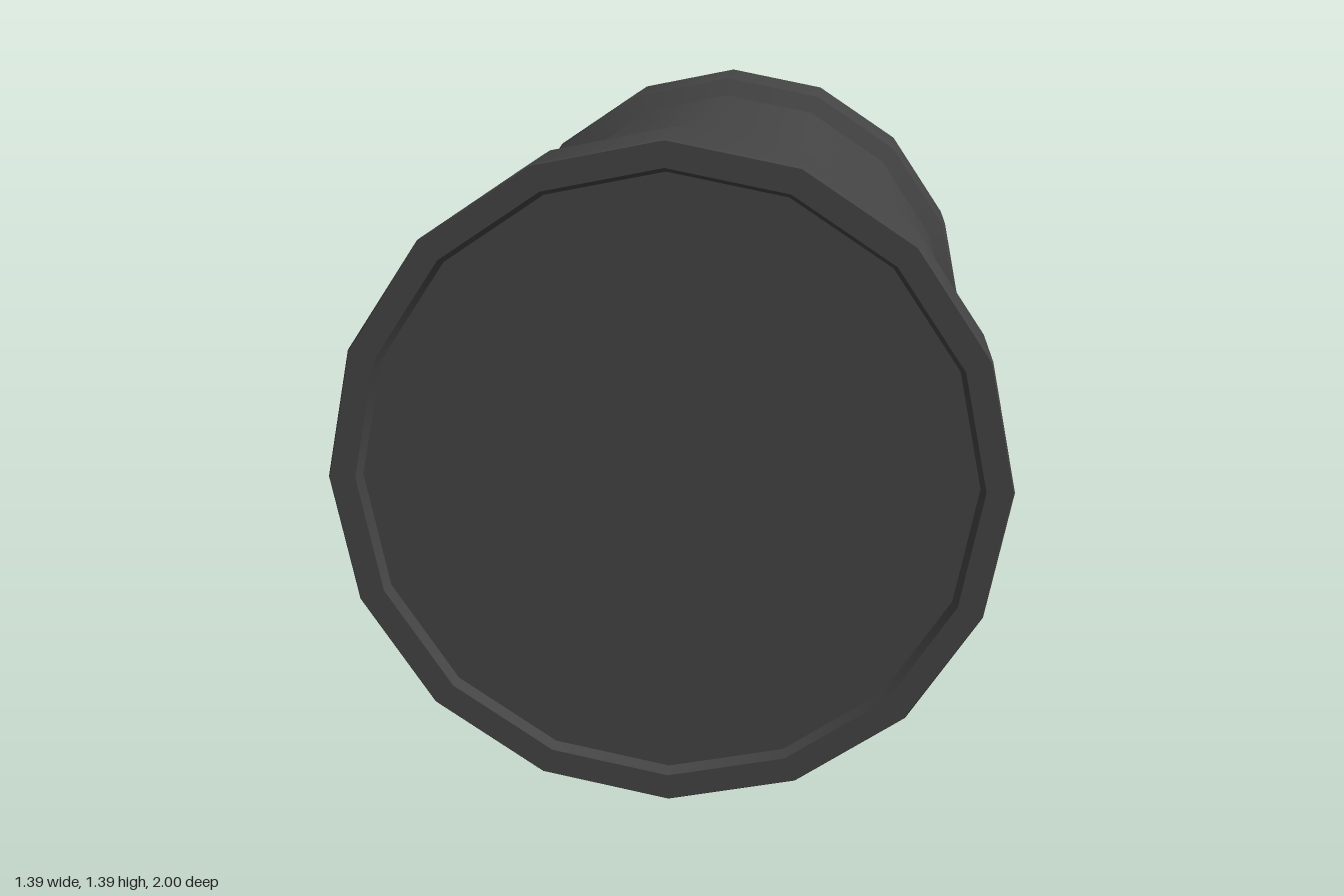
import * as THREE from 'three';

const SIDES = 16;
const AXIS_Y = 0.695;

// One band of revolution; separate bands keep the edges between them sharp
function band(name, material, points) {
  const profile = points.map(([r, h]) => new THREE.Vector2(r, h));
  const mesh = new THREE.Mesh(new THREE.LatheGeometry(profile, SIDES), material);
  mesh.name = name;
  return mesh;
}

export function createModel() {
  const charcoal = new THREE.MeshStandardMaterial({ color: 0x444444 });
  charcoal.name = 'charcoal';

  const model = new THREE.Group();
  model.name = 'flangedCylinder';

  // Main barrel lying along z
  const barrel = band('barrel', charcoal, [[0.638, -0.71], [0.638, 0.71]]);
  barrel.rotation.x = Math.PI / 2;
  barrel.position.y = AXIS_Y;
  model.add(barrel);

  // Thicker collar with a shallow recessed cap at each end
  for (const [name, side] of [['frontEnd', 1], ['backEnd', -1]]) {
    const end = new THREE.Group();
    end.name = name;
    end.add(
      band('collarBevel', charcoal, [[0.638, 0.71], [0.685, 0.738]]),
      band('collar', charcoal, [[0.685, 0.738], [0.693, 0.75], [0.693, 0.995]]),
      band('rimEdge', charcoal, [[0.693, 0.995], [0.69, 1]]),
      band('rim', charcoal, [[0.69, 1], [0.637, 1]]),
      band('recessWall', charcoal, [[0.637, 1], [0.627, 0.975]]),
      band('cap', charcoal, [[0.627, 0.975], [0, 0.975]])
    );
    end.rotation.x = side * Math.PI / 2;
    end.position.y = AXIS_Y;
    model.add(end);
  }
  return model;
}
